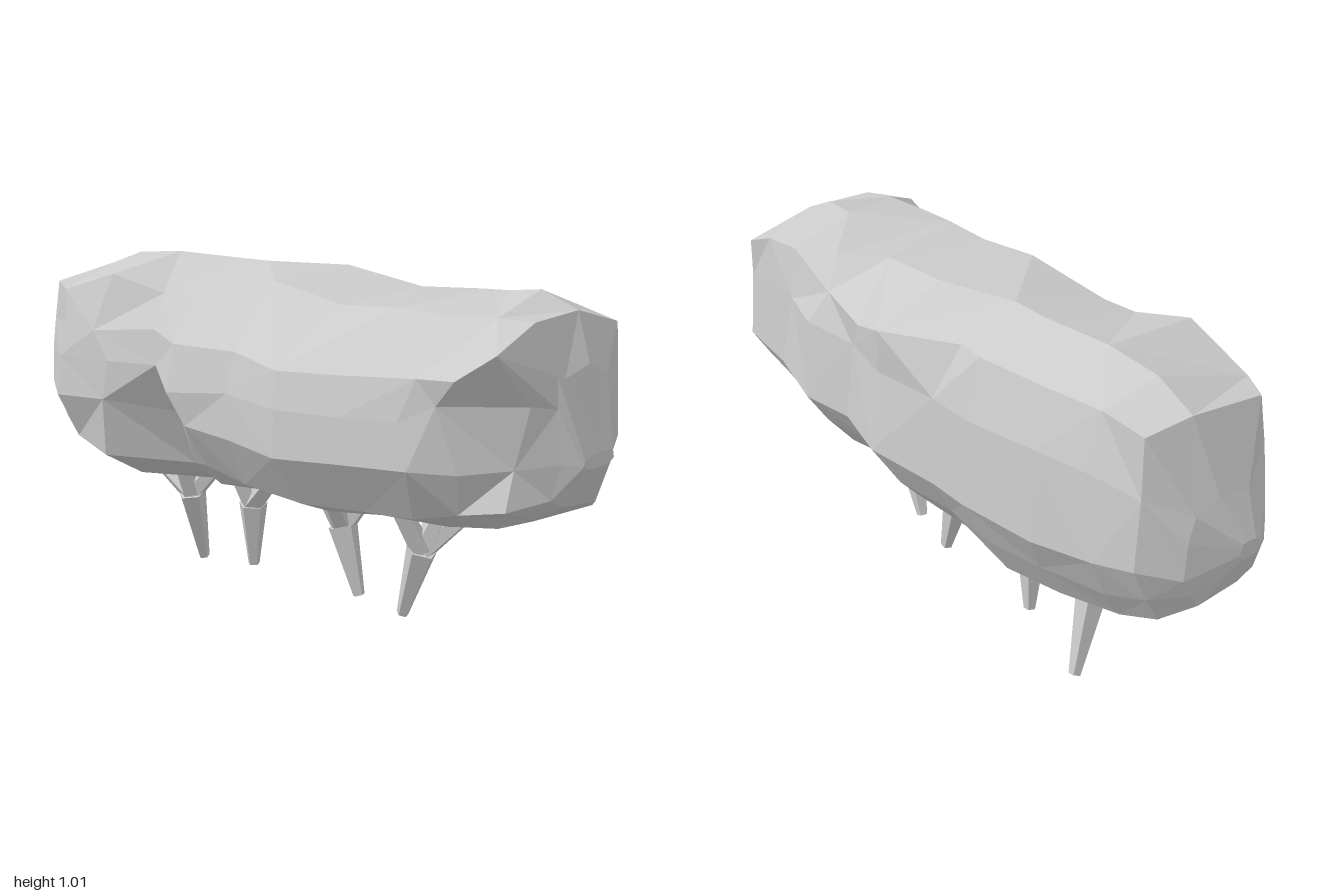
import * as THREE from 'three';

const material = new THREE.MeshStandardMaterial({ color: 0xcccccc, flatShading: true });

// Hedge stations along x: [x, bottom, top, back z, front z]
const STATIONS = [
  [-1.0, 0.58, 0.63, -0.07, 0.0],
  [-0.95, 0.46, 0.75, -0.21, 0.07],
  [-0.87, 0.40, 0.945, -0.30, 0.15],
  [-0.73, 0.35, 0.99, -0.33, 0.25],
  [-0.53, 0.30, 1.005, -0.355, 0.30],
  [-0.30, 0.28, 1.0, -0.37, 0.30],
  [-0.17, 0.32, 1.0, -0.385, 0.34],
  [0.06, 0.345, 1.0, -0.42, 0.365],
  [0.28, 0.345, 0.975, -0.355, 0.415],
  [0.47, 0.35, 0.97, -0.375, 0.395],
  [0.66, 0.36, 0.99, -0.325, 0.375],
  [0.78, 0.38, 1.0, -0.32, 0.35],
  [0.88, 0.42, 0.955, -0.315, 0.32],
  [0.94, 0.46, 0.83, -0.16, 0.17],
  [1.0, 0.58, 0.62, -0.07, 0.08],
];

// Cross-section, front over top to back and underneath: [depth 0..1, height 0..1]
const RING = [
  [1, 0.36], [0.99, 0.55], [0.96, 0.72], [0.74, 0.94], [0.38, 1], [0.1, 0.91],
  [0.03, 0.68], [0, 0.32], [0.1, 0.14], [0.2, 0], [0.68, 0.05], [0.88, 0.13],
];

// Vertices that leave the regular skin, keyed by station and ring position
const SPECIAL = {
  // Front and back rims of the flat top at the right end
  '2,3': [-0.85, 0.91, 0.13], '3,3': [-0.74, 0.9, 0.2], '4,3': [-0.5, 0.968, 0.23],
  '5,3': [-0.31, 0.925, 0.21], '6,3': [-0.2, 0.93, 0.195], '2,5': [-0.86, 0.93, -0.275],
  '6,5': [-0.19, 0.93, -0.295],
  // Cleft low in the front between the two lobes
  '4,0': [-0.5, 0.6, 0.285], '4,1': [-0.47, 0.72, 0.29], '4,11': [-0.53, 0.42, 0.25],
  '5,0': [-0.27, 0.58, 0.2], '5,1': [-0.27, 0.73, 0.29], '5,2': [-0.29, 0.83, 0.275],
  '5,11': [-0.28, 0.41, 0.12], '5,10': [-0.28, 0.37, 0.05],
  '6,0': [-0.12, 0.58, 0.33], '6,1': [-0.18, 0.67, 0.34], '6,11': [-0.12, 0.45, 0.24],
  // Front rim of the top over the large lobe
  '7,3': [0.07, 0.985, 0.16], '8,3': [0.33, 0.947, 0.19], '9,3': [0.5, 0.955, 0.19],
  // Back rim with a high shoulder, a dent and the rim beyond it
  '7,5': [0.06, 0.908, -0.39], '7,4': [0.06, 1, -0.18], '7,6': [0.07, 0.78, -0.385],
  '8,5': [0.22, 0.855, -0.345], '8,4': [0.35, 0.965, -0.14],
  '9,5': [0.42, 0.88, -0.31], '9,4': [0.48, 0.96, -0.24],
  '10,5': [0.66, 0.93, -0.27], '11,5': [0.78, 0.93, -0.285], '12,5': [0.87, 0.9, -0.3],
  // Overhanging upper front corner and the slanted cheek under it
  '11,2': [0.79, 0.82, 0.345], '11,1': [0.73, 0.75, 0.335], '11,0': [0.78, 0.58, 0.31],
  '12,2': [0.89, 0.89, 0.32], '12,1': [0.91, 0.75, 0.19], '12,0': [0.88, 0.59, 0.21],
  '12,3': [0.89, 0.95, 0.15],
  '13,2': [0.94, 0.82, 0.12], '13,1': [0.95, 0.74, 0.13], '13,0': [0.96, 0.6, 0.12],
  // Keel under the back
  '10,9': [0.66, 0.365, -0.08], '11,9': [0.78, 0.385, -0.06],
};

function jitter(i, j) {
  const s = Math.sin(i * 12.99 + j * 78.23) * 43758.55;
  return (s - Math.floor(s) - 0.5) * 2;
}

function hedgePoint(i, j) {
  const special = SPECIAL[`${i},${j}`];
  if (special) return special;
  const [x, bottom, top, back, front] = STATIONS[i];
  const [u, v] = RING[j];
  const p = [x, bottom + (top - bottom) * v, back + (front - back) * u];
  if (i > 2 && i < STATIONS.length - 3) {
    p[0] += 0.025 * jitter(i, j);
    if (j !== 4) p[1] += 0.008 * jitter(i + 5, j);
  }
  return p;
}

function hedgeGeometry() {
  const n = RING.length, m = STATIONS.length;
  const positions = [], index = [];
  for (let i = 0; i < m; i++)
    for (let j = 0; j < n; j++) positions.push(...hedgePoint(i, j));
  for (let i = 0; i < m - 1; i++) {
    for (let j = 0; j < n; j++) {
      const k = (j + 1) % n;
      const a = i * n + j, b = i * n + k, c = a + n, d = b + n;
      if ((i + j) % 2) index.push(a, c, b, b, c, d);
      else index.push(a, c, d, a, d, b);
    }
  }
  // Close both ends with fans
  const e = (m - 1) * n;
  for (let j = 1; j < n - 1; j++) index.push(0, j, j + 1, e, e + j + 1, e + j);
  const g = new THREE.BufferGeometry();
  g.setAttribute('position', new THREE.Float32BufferAttribute(positions, 3));
  g.setIndex(index);
  const flat = g.toNonIndexed();
  flat.computeVertexNormals();
  return flat;
}

// Tapered stick between two points
function stick(name, from, to, r0, r1) {
  const a = new THREE.Vector3(...from), b = new THREE.Vector3(...to);
  const dir = b.clone().sub(a);
  const mesh = new THREE.Mesh(new THREE.CylinderGeometry(r1, r0, dir.length(), 5), material);
  mesh.name = name;
  mesh.position.copy(a).add(b).multiplyScalar(0.5);
  mesh.quaternion.setFromUnitVectors(new THREE.Vector3(0, 1, 0), dir.normalize());
  return mesh;
}

// Stems: foot, fork and the ends of the branches
const STEMS = [
  { foot: [-0.52, 0.005, -0.165], fork: [-0.5, 0.24, -0.09],
    tips: [[-0.64, 0.33, -0.08], [-0.41, 0.35, -0.14], [-0.5, 0.38, -0.03]] },
  { foot: [-0.245, 0.05, -0.1], fork: [-0.23, 0.25, -0.08],
    tips: [[-0.27, 0.4, -0.02], [-0.15, 0.42, -0.14], [-0.06, 0.43, -0.05]] },
  { foot: [0.185, 0.045, -0.08], fork: [0.13, 0.25, -0.07],
    tips: [[0.05, 0.39, -0.04], [0.14, 0.4, 0.03], [0.21, 0.39, -0.14]] },
  { foot: [0.38, 0.045, -0.03], fork: [0.45, 0.25, -0.02],
    tips: [[0.41, 0.39, 0.05], [0.5, 0.4, -0.06], [0.58, 0.4, -0.14]] },
];

export function createModel() {
  const group = new THREE.Group();
  group.name = 'hedge';

  const foliage = new THREE.Mesh(hedgeGeometry(), material);
  foliage.name = 'foliage';
  group.add(foliage);

  for (const { foot, fork, tips } of STEMS) {
    const stem = new THREE.Group();
    stem.name = 'stem';
    stem.add(stick('trunk', foot, fork, 0.018, 0.046));
    for (const tip of tips) stem.add(stick('branch', fork, tip, 0.036, 0.024));
    group.add(stem);
  }
  return group;
}
